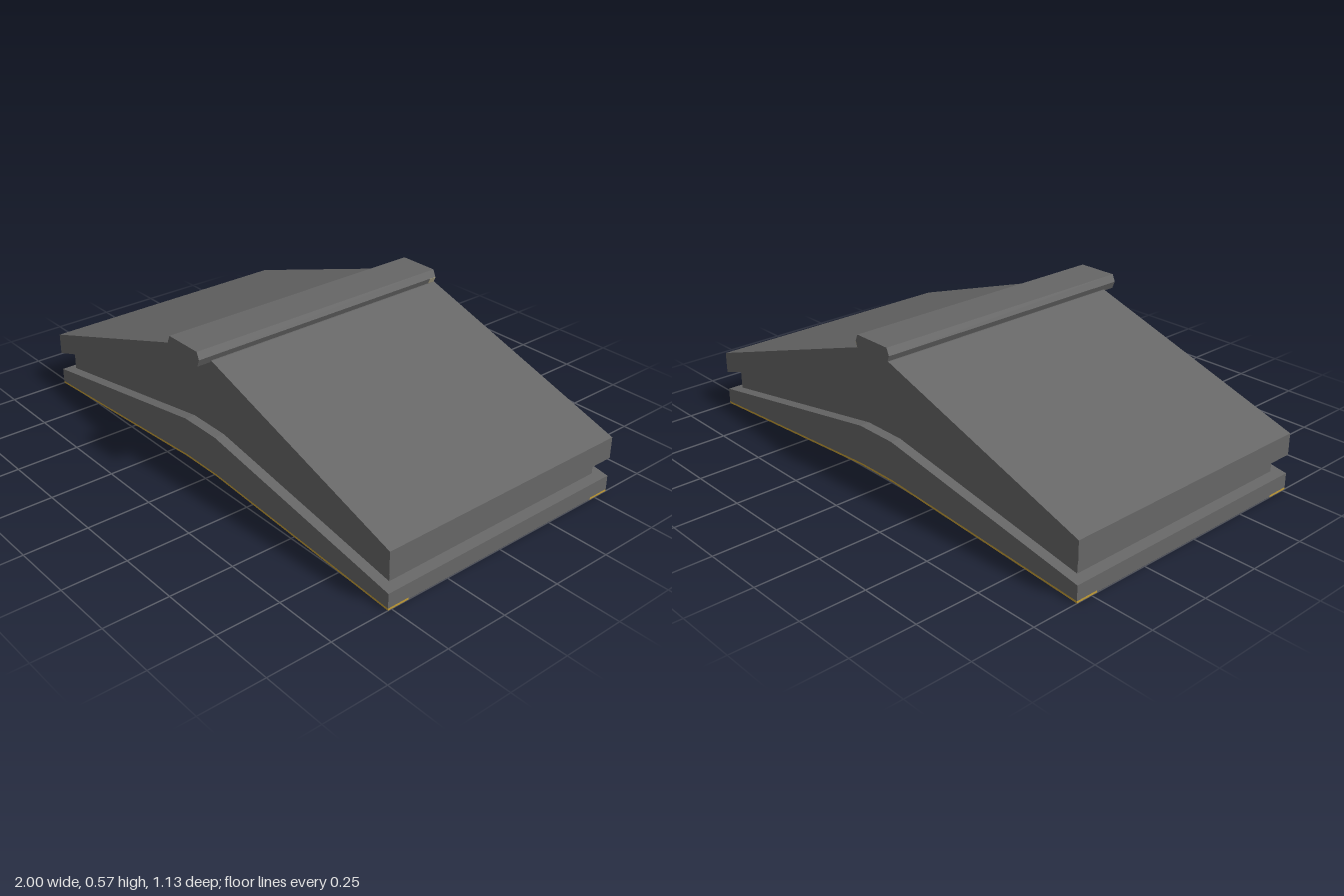
import * as THREE from 'three';

const material = (name, color, side = THREE.FrontSide) => {
  const m = new THREE.MeshStandardMaterial({ color, side });
  m.name = name;
  return m;
};

export function createModel() {
  const group = new THREE.Group();
  const grey = material('slate grey', 0x666666);
  const gold = material('golden wood', 0xc29c36);
  const tan = material('pale ceiling', 0xaaa289);
  const brown = material('dark brown', 0x513d25);

  // Extrude an x/y outline between two z positions
  const prism = (name, points, z0, z1, mat) => {
    const shape = new THREE.Shape(points.map(([x, y]) => new THREE.Vector2(x, y)));
    const geometry = new THREE.ExtrudeGeometry(shape, { depth: z1 - z0, bevelEnabled: false });
    geometry.translate(0, 0, z0);
    const mesh = new THREE.Mesh(geometry, mat);
    mesh.name = name;
    group.add(mesh);
    return mesh;
  };

  // Symmetric gable outline; each line runs from eave to ridge on the +x side
  const gable = (top, bottom) => {
    const mirror = line => line.map(([x, y]) => [-x, y]);
    return [...top, ...mirror(top).reverse(), ...mirror(bottom), ...[...bottom].reverse()];
  };
  const lift = (line, d) => line.map(([x, y]) => [x, y + d]);

  const roofTop = [[1, 0.225], [0.09, 0.525]];
  const roofUnder = [[1, 0.14], [0.09, 0.435]];
  const coreTop = [[0.96, 0.153], [0.09, 0.435]];
  const bandTop = [[1, 0.065], [0.09, 0.22]];
  const trimLine = [[1, 0], [0.09, 0.06]];
  const bandUnder = lift(trimLine, 0.008);
  const coreUnder = [[0.96, 0.012], [0.09, 0.068]];
  const ceilingLine = [[0.99, 0.008], [0.09, 0.28]];
  const FRONT = 0.515, BACK = -0.565, INNER_FRONT = 0.425, INNER_BACK = -0.475;

  // Upper roof slab and recessed core
  prism('roofSlab', gable(roofTop, roofUnder), BACK, FRONT, grey);
  prism('recessedCore', gable(coreTop, [[0.96, 0.024], [0.09, 0.287]]), INNER_BACK, INNER_FRONT, grey);

  // Gable ends: recessed wall, projecting lower band, wooden soffit, inner lining
  const ends = [
    ['front', INNER_FRONT, 0.475, FRONT, 1],
    ['back', INNER_BACK, -0.525, BACK, -1],
  ];
  for (const [end, inner, wall, outer, dir] of ends) {
    const span = (a, b) => [Math.min(a, b), Math.max(a, b)];
    prism(end + 'GableWall', gable(coreTop, coreUnder), ...span(inner, wall), grey);
    prism(end + 'LowerBand', gable(bandTop, bandUnder), ...span(inner, outer), grey);
    prism(end + 'Soffit', gable(bandUnder, trimLine), ...span(inner, outer), gold);
    prism(end + 'InnerLining', gable(ceilingLine, trimLine), ...span(inner - dir * 0.005, inner), brown);
  }

  // Eave strips and ceiling beams, mirrored left and right
  for (const s of [1, -1]) {
    const side = s > 0 ? 'left' : 'right';
    const flip = points => points.map(([x, y]) => [x * s, y]);
    prism(side + 'EaveStrip', flip([[1, 0.002], [1, 0.065], [0.85, 0.0905], [0.85, 0.055]]),
      INNER_BACK, INNER_FRONT, grey);
    prism(side + 'CeilingBeam', flip([[0.335, 0.125], [0.4, 0.125], [0.4, 0.2], [0.335, 0.2]]),
      INNER_BACK, INNER_FRONT, gold);
  }

  // Sloped ceiling
  prism('ceiling', gable(lift(ceilingLine, 0.006), ceilingLine), INNER_BACK, INNER_FRONT, tan);

  // Ridge cap, overhanging at the front, with a small pale inset at the back
  const capSide = [[0.082, 0.575], [0.094, 0.547], [0.082, 0.518]];
  prism('ridgeCap', [...capSide, ...capSide.map(([x, y]) => [-x, y]).reverse()], BACK, 0.57, grey);
  prism('ridgeInset', [[0.0955, 0.547], [0.0855, 0.523], [0.083, 0.523], [0.092, 0.547]], BACK, -0.535, tan);

  return group;
}
